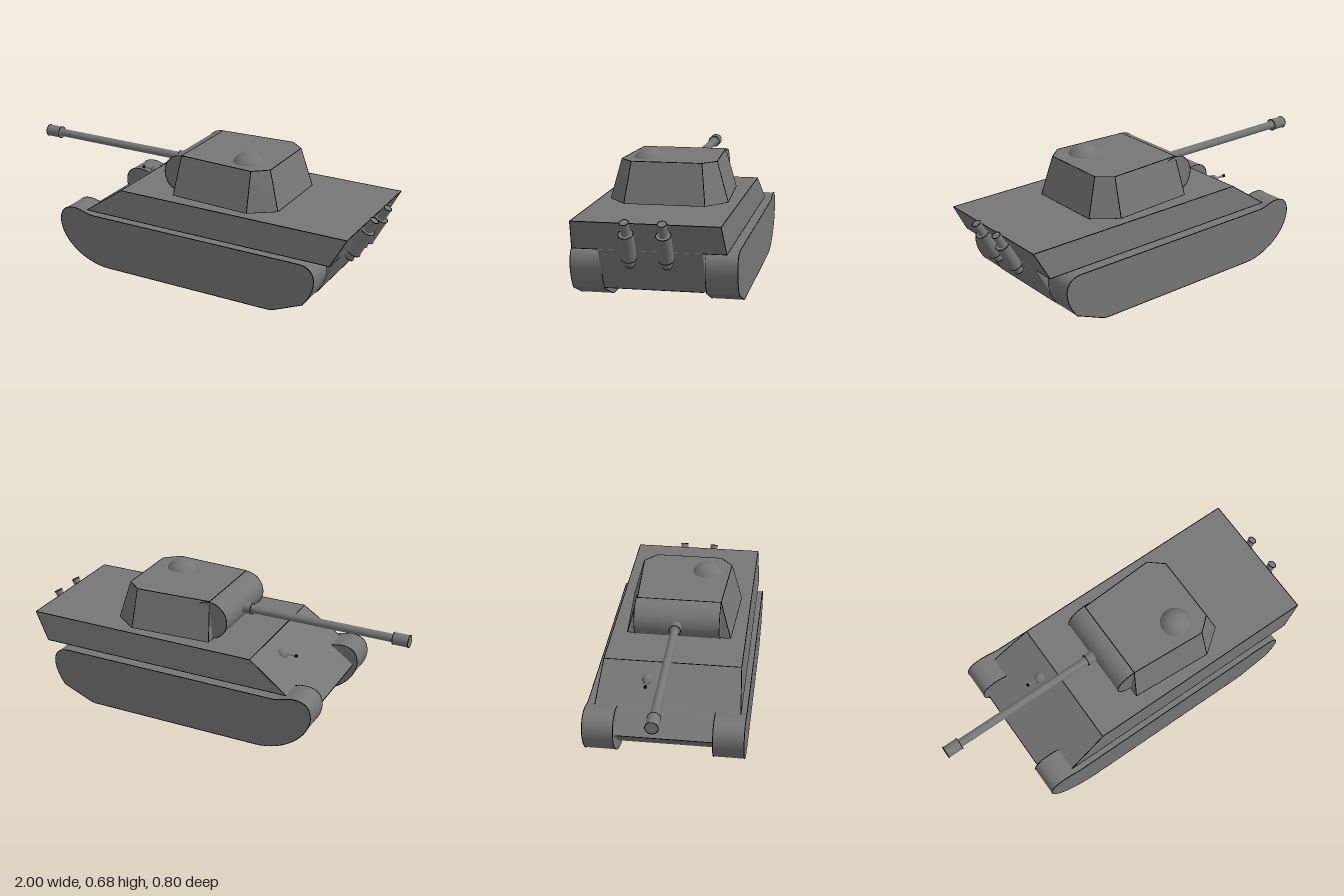
import * as THREE from 'three';
import { toCreasedNormals } from 'three/addons/utils/BufferGeometryUtils.js';
import { ConvexGeometry } from 'three/addons/geometries/ConvexGeometry.js';

const V = (x, y, z) => new THREE.Vector3(x, y, z);
const EDGE = 0.0022; // radius of the black edge lines

export function createModel() {
  const model = new THREE.Group();
  const steel = new THREE.MeshStandardMaterial({ color: 0x767676 });
  steel.name = 'steelGrey';
  const black = new THREE.MeshStandardMaterial({ color: 0x000000 });
  black.name = 'edgeBlack';

  const add = (name, geometry, parent = model, material = steel) => {
    const mesh = new THREE.Mesh(geometry, material);
    mesh.name = name;
    parent.add(mesh);
    return mesh;
  };

  // Round bar between two points
  const rod = (name, a, b, radius, parent = model, sides = 24, material = steel) => {
    const dir = b.clone().sub(a);
    const mesh = add(name, new THREE.CylinderGeometry(radius, radius, dir.length(), sides), parent, material);
    mesh.position.copy(a).add(b).multiplyScalar(0.5);
    mesh.quaternion.setFromUnitVectors(V(0, 1, 0), dir.normalize());
    return mesh;
  };

  // Round bar with a black rim at each end
  const rimmedRod = (name, a, b, radius, parent = model) => {
    rod(name, a, b, radius, parent);
    const dir = b.clone().sub(a).normalize();
    for (const p of [a, b]) {
      const rim = add(name + 'Rim', new THREE.TorusGeometry(radius, EDGE, 6, 32), parent, black);
      rim.position.copy(p);
      rim.quaternion.setFromUnitVectors(V(0, 0, 1), dir);
    }
  };

  // Black lines joining a run of points
  const edges = (name, pts, closed = true) => {
    const group = new THREE.Group();
    group.name = name;
    model.add(group);
    pts.forEach((p, i) => {
      const q = pts[(i + 1) % pts.length];
      if ((closed || i < pts.length - 1) && p.distanceTo(q) > 1e-5) rod('edge', p, q, EDGE, group, 6, black);
    });
  };

  // Side profile pushed out sideways, centred on z
  const slab = (name, shape, depth, z) => {
    const geo = new THREE.ExtrudeGeometry(shape, { depth, bevelEnabled: false, curveSegments: 14 });
    geo.translate(0, 0, z - depth / 2);
    return add(name, toCreasedNormals(geo, 0.35));
  };

  // Sloped armour block from mirrored [x, half width] outlines at two heights
  const block = (name, y0, base, y1, top, zc) => {
    const pts = [];
    for (const [y, ring] of [[y0, base], [y1, top]])
      for (const [x, w] of ring) pts.push(V(x, y, zc + w), V(x, y, zc - w));
    return add(name, new ConvexGeometry(pts));
  };

  // Tracks, with both side outlines drawn in black
  const track = new THREE.Shape();
  track.moveTo(-0.36, 0.005);
  track.lineTo(0.565, 0.005);
  track.quadraticCurveTo(0.59, 0.006, 0.61, 0.015);
  track.lineTo(0.755, 0.076);
  track.bezierCurveTo(0.835, 0.18, 0.825, 0.285, 0.725, 0.285);
  track.lineTo(-0.45, 0.285);
  track.bezierCurveTo(-0.49, 0.285, -0.52, 0.308, -0.565, 0.308);
  track.bezierCurveTo(-0.62, 0.308, -0.655, 0.28, -0.652, 0.215);
  track.bezierCurveTo(-0.64, 0.1, -0.5, 0.005, -0.36, 0.005);
  for (const [name, s] of [['leftTrack', 1], ['rightTrack', -1]]) {
    slab(name, track, 0.153, s * 0.3215);
    for (const z of [0.245, 0.398])
      edges(name + 'Edge', track.getPoints(14).map((p) => V(p.x, p.y, s * z)));
  }

  // Hull: narrow tub between the tracks and wide sloped upper body
  const tub = new THREE.Shape([
    [-0.5, 0.083], [0.762, 0.083], [0.873, 0.295], [-0.506, 0.295], [-0.63, 0.208],
  ].map(([x, y]) => new THREE.Vector2(x, y)));
  slab('lowerHull', tub, 0.492, 0);
  block('upperHull', 0.296, [[-0.505, 0.363], [0.873, 0.363]],
    0.44, [[-0.3, 0.348], [0.95, 0.348]], 0.006);
  for (const s of [1, -1]) {
    const low = 0.006 + s * 0.363, high = 0.006 + s * 0.348;
    edges('upperHullEdge', [V(-0.505, 0.296, low), V(0.873, 0.296, low), V(0.95, 0.44, high), V(-0.3, 0.44, high)]);
    edges('sponsonRearEdge', [V(0.873, 0.296, low), V(0.873, 0.296, s * 0.246)], false);
  }
  for (const [x, y, w] of [[-0.3, 0.44, 0.348], [0.95, 0.44, 0.348], [0.762, 0.083, 0.24], [-0.63, 0.208, 0.24]])
    edges('hullCrossEdge', [V(x, y, 0.006 - w), V(x, y, 0.006 + w)], false);

  // Turret
  const base = [[-0.035, 0.27], [0.395, 0.294], [0.52, 0.2]];
  const roof = [[-0.015, 0.216], [0.387, 0.238], [0.462, 0.175]];
  block('turret', 0.44, base, 0.64, roof, 0.006);
  const ring = (y, half) => [1, -1].flatMap((s) =>
    (s > 0 ? half : [...half].reverse()).map(([x, w]) => V(x, y, 0.006 + s * w)));
  const baseRing = ring(0.44, base), roofRing = ring(0.64, roof);
  edges('turretBaseEdge', baseRing);
  edges('turretRoofEdge', roofRing);
  baseRing.forEach((p, i) => edges('turretCornerEdge', [p, roofRing[i]], false));

  // Rounded gun mantlet and domed hatch
  rimmedRod('mantlet', V(-0.016, 0.54, -0.216), V(-0.016, 0.54, 0.222), 0.0985);
  const hatch = add('hatchDome', new THREE.SphereGeometry(0.09, 32, 12, 0, Math.PI * 2, 0, 1.06));
  hatch.position.set(0.312, 0.595, 0.12);

  // Main gun
  const gun = new THREE.Group();
  gun.name = 'mainGun';
  model.add(gun);
  rod('barrel', V(-0.99, 0.54, 0), V(-0.05, 0.54, 0), 0.021, gun);
  rimmedRod('muzzle', V(-0.998, 0.54, 0), V(-0.918, 0.54, 0), 0.031, gun);
  rimmedRod('barrelCollar', V(-0.155, 0.54, 0), V(-0.08, 0.54, 0), 0.029, gun);

  // Ball-mounted hull gun on the front plate
  const ball = add('hullGunBall', new THREE.SphereGeometry(0.03, 24, 16));
  ball.position.set(-0.375, 0.379, -0.11);
  rod('hullGunBarrel', V(-0.452, 0.386, -0.11), V(-0.38, 0.386, -0.11), 0.005, model, 12);
  rod('hullGunTip', V(-0.457, 0.386, -0.11), V(-0.445, 0.386, -0.11), 0.008, model, 12, black);

  // Twin exhausts lying along the sloped rear plate
  const onAxis = (y, z) => V(0.92 + (y - 0.335) * 0.525, y, z);
  for (const z of [0.094, -0.08]) {
    const exhaust = new THREE.Group();
    exhaust.name = 'exhaust';
    model.add(exhaust);
    rimmedRod('exhaustPipe', onAxis(0.225, z), onAxis(0.45, z), 0.021, exhaust);
    rimmedRod('exhaustMuffler', onAxis(0.262, z), onAxis(0.39, z), 0.035, exhaust);
  }

  return model;
}
